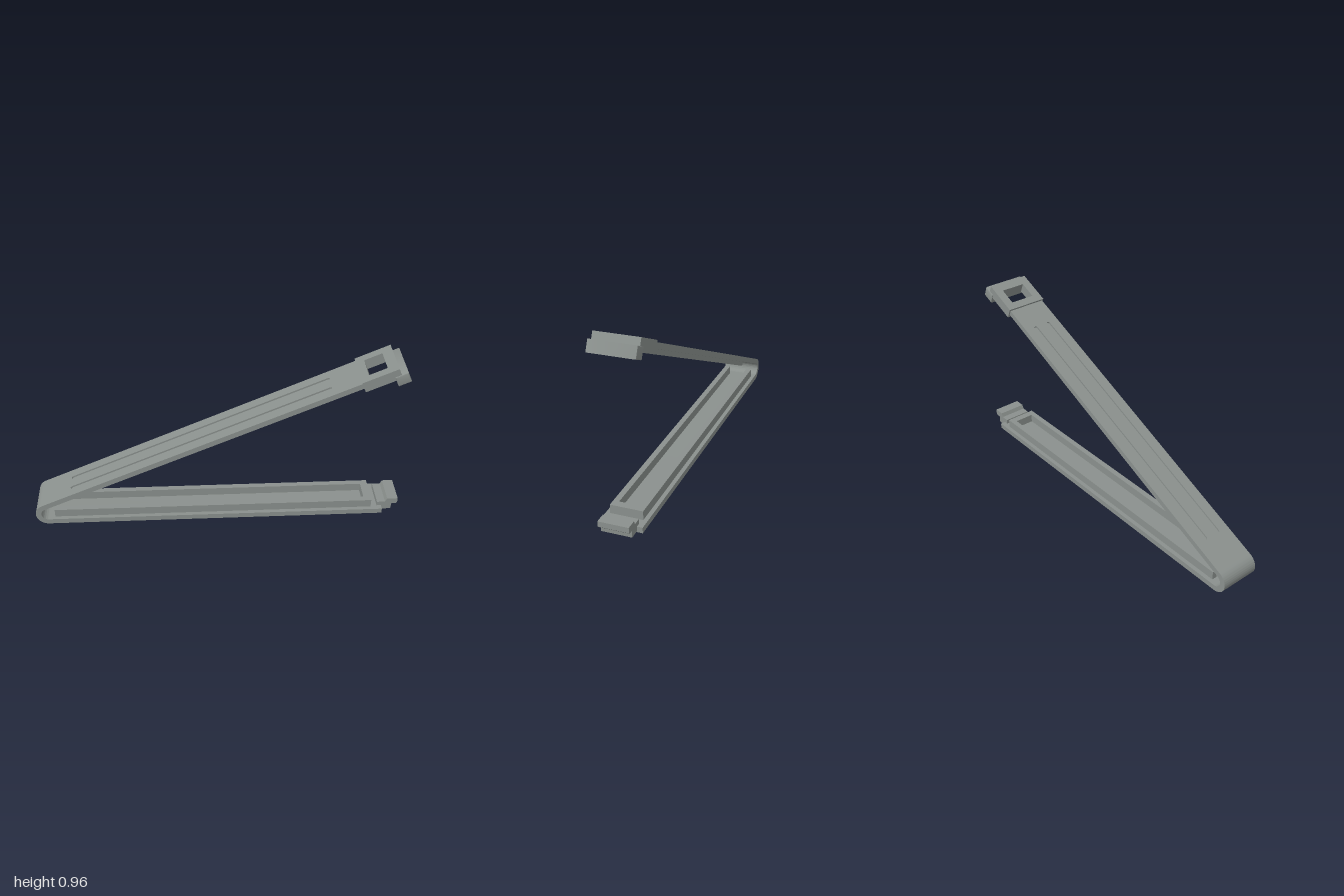
import * as THREE from 'three';
import { toCreasedNormals } from 'three/addons/utils/BufferGeometryUtils.js';

const HINGE = [-0.933, 0.067];          // hinge centre
const R_OUT = 0.067, R_IN = 0.037;      // hinge strap radii
const TILT = THREE.MathUtils.degToRad(24);
const HALF = 0.107;                     // half width of the strap

const rect = (Kind, x0, x1, y0, y1) => new Kind([
  new THREE.Vector2(x0, y0), new THREE.Vector2(x1, y0),
  new THREE.Vector2(x1, y1), new THREE.Vector2(x0, y1)]);

// Side profile (x, y) extruded evenly to both sides of z = 0
function sideExtrude(shape, half, bevel = 0) {
  const g = new THREE.ExtrudeGeometry(shape, {
    depth: 2 * (half - bevel), curveSegments: 32, bevelEnabled: bevel > 0,
    bevelSize: bevel, bevelThickness: bevel, bevelOffset: -bevel, bevelSegments: 2 });
  g.translate(0, 0, -(half - bevel));
  return toCreasedNormals(g, 0.5);
}

// Plan outline (x, z) extruded upward from y0 to y1
function plate(shape, y0, y1) {
  const g = new THREE.ExtrudeGeometry(shape, { depth: y1 - y0, curveSegments: 8, bevelEnabled: false });
  g.rotateX(-Math.PI / 2);
  g.translate(0, y0, 0);
  return toCreasedNormals(g, 0.5);
}

// Round-ended groove outline
function slot(x0, x1, z, r) {
  const p = new THREE.Path();
  p.moveTo(x0 + r, z - r);
  p.lineTo(x1 - r, z - r);
  p.absarc(x1 - r, z, r, -Math.PI / 2, Math.PI / 2, false);
  p.lineTo(x0 + r, z + r);
  p.absarc(x0 + r, z, r, Math.PI / 2, Math.PI * 1.5, false);
  return p;
}

export function createModel() {
  const model = new THREE.Group();
  model.name = 'bagClip';
  const grey = new THREE.MeshStandardMaterial({ color: 0x8a908d });
  grey.name = 'grey plastic';
  const add = (parent, name, geometry) => {
    const mesh = new THREE.Mesh(geometry, grey);
    mesh.name = name;
    parent.add(mesh);
  };

  // Upper arm frame: x runs along the arm, y across its thickness
  const upper = new THREE.Group();
  upper.name = 'upperArm';
  upper.position.set(HINGE[0], HINGE[1], 0);
  upper.rotation.z = TILT;
  model.add(upper);
  const at = (u, v) => [
    HINGE[0] + u * Math.cos(TILT) - v * Math.sin(TILT),
    HINGE[1] + u * Math.sin(TILT) + v * Math.cos(TILT)];

  // One folded strap: lower arm, hinge bend and base of the upper arm
  const grooveFloor = 0.058;
  const strap = new THREE.Shape();
  strap.moveTo(0.91, 0);
  strap.lineTo(0.91, 0.03);
  strap.lineTo(HINGE[0], 0.03);
  strap.absarc(HINGE[0], HINGE[1], R_IN, Math.PI * 1.5, Math.PI / 2 + TILT, true);
  strap.lineTo(...at(1.85, R_IN));
  strap.lineTo(...at(1.85, grooveFloor));
  strap.lineTo(...at(0, grooveFloor));
  strap.lineTo(...at(0, R_OUT));
  strap.absarc(HINGE[0], HINGE[1], R_OUT, Math.PI / 2 + TILT, Math.PI * 1.5, false);
  add(model, 'strap', sideExtrude(strap, HALF));

  // Upper skin with two long grooves
  const skin = rect(THREE.Shape, 0, 1.85, -HALF, HALF);
  for (const s of [-1, 1]) skin.holes.push(slot(0.172, 1.683, s * 0.042, 0.009));
  add(upper, 'groovedSkin', plate(skin, grooveFloor, R_OUT));

  // Rib that presses into the channel below
  add(upper, 'clampRib', plate(rect(THREE.Shape, 0.06, 1.785, -0.031, 0.031), 0.011, 0.038));

  // Head with its window, and the catch bar at the tip
  const head = rect(THREE.Shape, 1.835, 2.03, -0.114, 0.114);
  head.holes.push(rect(THREE.Path, 1.879, 1.977, -0.068, 0.068));
  add(upper, 'headFrame', plate(head, 0.018, 0.077));
  add(upper, 'catchBar', sideExtrude(rect(THREE.Shape, 1.995, 2.065, -0.02, 0.04), 0.118, 0.006));

  // Channel walls on the lower arm, open toward the hinge
  const channel = new THREE.Shape([
    [-0.9, -0.085], [0.85, -0.085], [0.85, 0.085], [-0.9, 0.085],
    [-0.9, 0.055], [0.81, 0.055], [0.81, -0.055], [-0.9, -0.055],
  ].map(p => new THREE.Vector2(...p)));
  add(model, 'channelWalls', plate(channel, 0.029, 0.077));

  // Stepped latch tongue at the tip of the lower arm
  const tongue = new THREE.Shape([
    [0.885, 0.02], [0.905, 0.005], [0.965, 0.005], [0.967, 0.042], [0.99, 0.042],
    [0.999, 0.05], [0.999, 0.078], [0.94, 0.078], [0.93, 0.056], [0.885, 0.056],
  ].map(p => new THREE.Vector2(...p)));
  add(model, 'latchTongue', sideExtrude(tongue, 0.078));

  return model;
}
